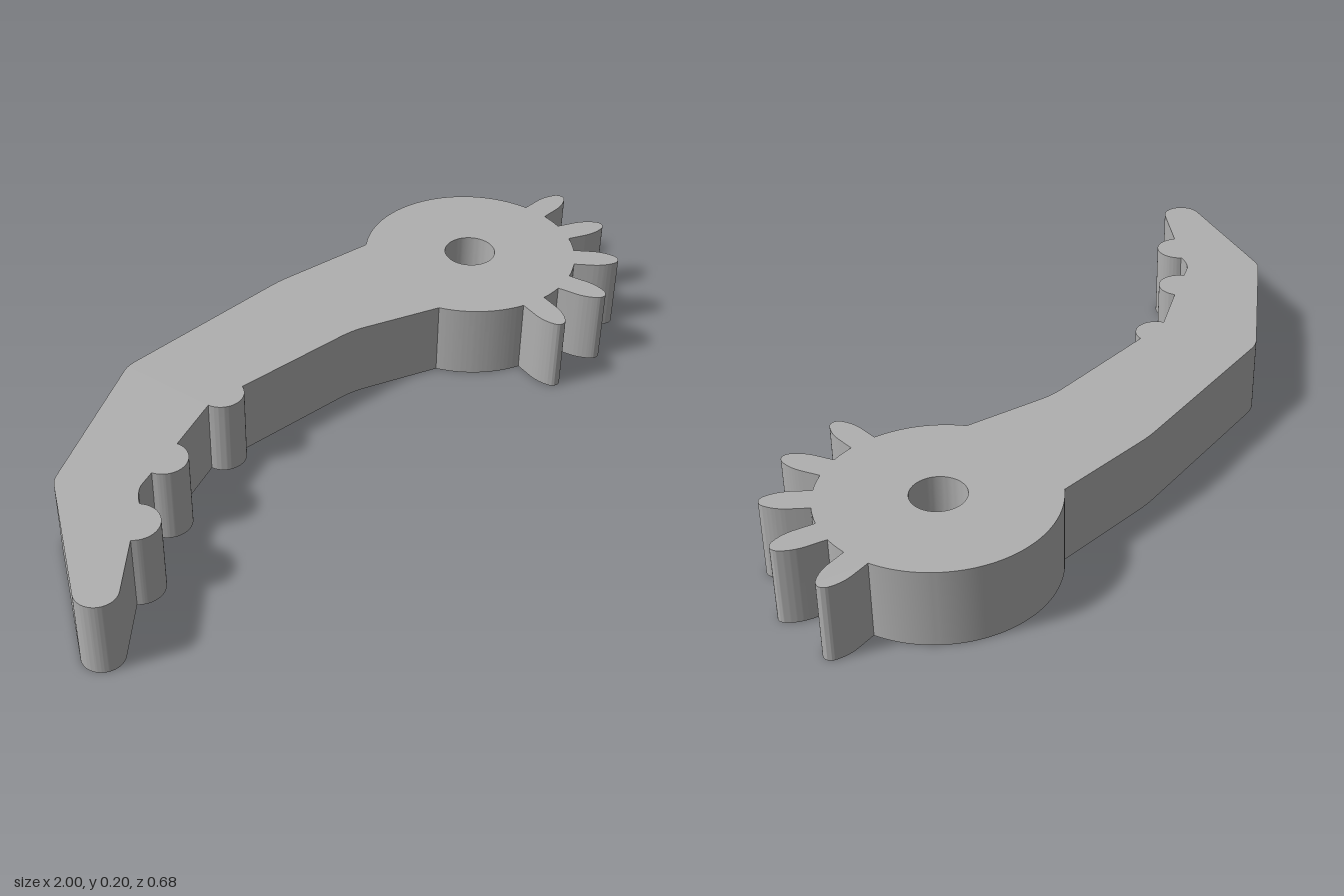
import * as THREE from 'three';
import { toCreasedNormals } from 'three/addons/utils/BufferGeometryUtils.js';

const HEIGHT = 0.2, RECESS = 0.07;
const HUB = { x: 0.596, z: -0.056, r: 0.286 };
const rad = THREE.MathUtils.degToRad;

// Extrude a plan drawn in (x, z) between two heights
function slab(shape, y0, y1) {
  const geo = new THREE.ExtrudeGeometry(shape, { depth: y1 - y0, bevelEnabled: false, curveSegments: 32 });
  geo.rotateX(Math.PI / 2).translate(0, y1, 0);
  return toCreasedNormals(geo, rad(28));
}

function circle(target, r) {
  target.absarc(HUB.x, HUB.z, r, 0, Math.PI * 2, false);
  return target;
}

// One rounded gear tooth pointing outward at angle a
function addTooth(s, a) {
  const p = (u, v) => [
    HUB.x + u * Math.cos(a) - v * Math.sin(a),
    HUB.z + u * Math.sin(a) + v * Math.cos(a),
  ];
  s.lineTo(...p(0.335, -0.034));
  s.quadraticCurveTo(...p(0.37, -0.033), ...p(0.396, -0.016));
  s.quadraticCurveTo(...p(0.412, 0), ...p(0.396, 0.016));
  s.quadraticCurveTo(...p(0.37, 0.033), ...p(0.335, 0.034));
}

function jawOutline() {
  const s = new THREE.Shape();
  // Hub with five teeth out of a fourteen-tooth pitch
  const half = Math.asin(0.034 / HUB.r);
  let from = rad(-128);
  for (let i = 0; i < 5; i++) {
    const a = (i * Math.PI * 2) / 14;
    s.absarc(HUB.x, HUB.z, HUB.r, from, a - half, false);
    addTooth(s, a);
    from = a + half;
  }
  s.absarc(HUB.x, HUB.z, HUB.r, from, rad(155.5), false);

  // Inner edge with three grip bumps
  const bump = (x, z, r, a0, a1) => s.absarc(x, z, r, rad(a0), rad(a1), false);
  s.lineTo(0.13, -0.018);
  s.quadraticCurveTo(0.1, -0.028, 0.07, -0.031);
  bump(-0.307, -0.076, 0.056, 18, 167);
  bump(-0.565, 0.009, 0.058, -17, 160);
  s.lineTo(-0.665, 0.045);
  s.quadraticCurveTo(-0.69, 0.06, -0.706, 0.088);
  bump(-0.754, 0.128, 0.06, -38, 138);

  // Rounded tip and outer edge
  bump(-0.949, 0.234, 0.051, 48, 212);
  s.lineTo(-0.807, -0.092);
  s.quadraticCurveTo(-0.798, -0.108, -0.782, -0.118);
  s.lineTo(-0.42, -0.312);
  s.quadraticCurveTo(-0.4, -0.324, -0.37, -0.324);
  s.lineTo(0.1, -0.324);
  s.quadraticCurveTo(0.128, -0.324, 0.156, -0.32);
  s.closePath();
  return s;
}

export function createModel() {
  const model = new THREE.Group();
  model.name = 'gripperJaw';
  const grey = new THREE.MeshStandardMaterial({ color: 0xb0b0b0 });
  grey.name = 'grey';

  // Arm and gear sector, opened to the width of the recess underneath
  const plan = jawOutline();
  plan.holes.push(circle(new THREE.Path(), 0.118));
  const arm = new THREE.Mesh(slab(plan, 0, HEIGHT), grey);
  arm.name = 'gearedArm';

  // Collar narrowing the upper part of the opening to the pivot bore
  const ring = circle(new THREE.Shape(), 0.118);
  ring.holes.push(circle(new THREE.Path(), 0.068));
  const collar = new THREE.Mesh(slab(ring, RECESS, HEIGHT), grey);
  collar.name = 'pivotCollar';

  model.add(arm, collar);
  return model;
}
